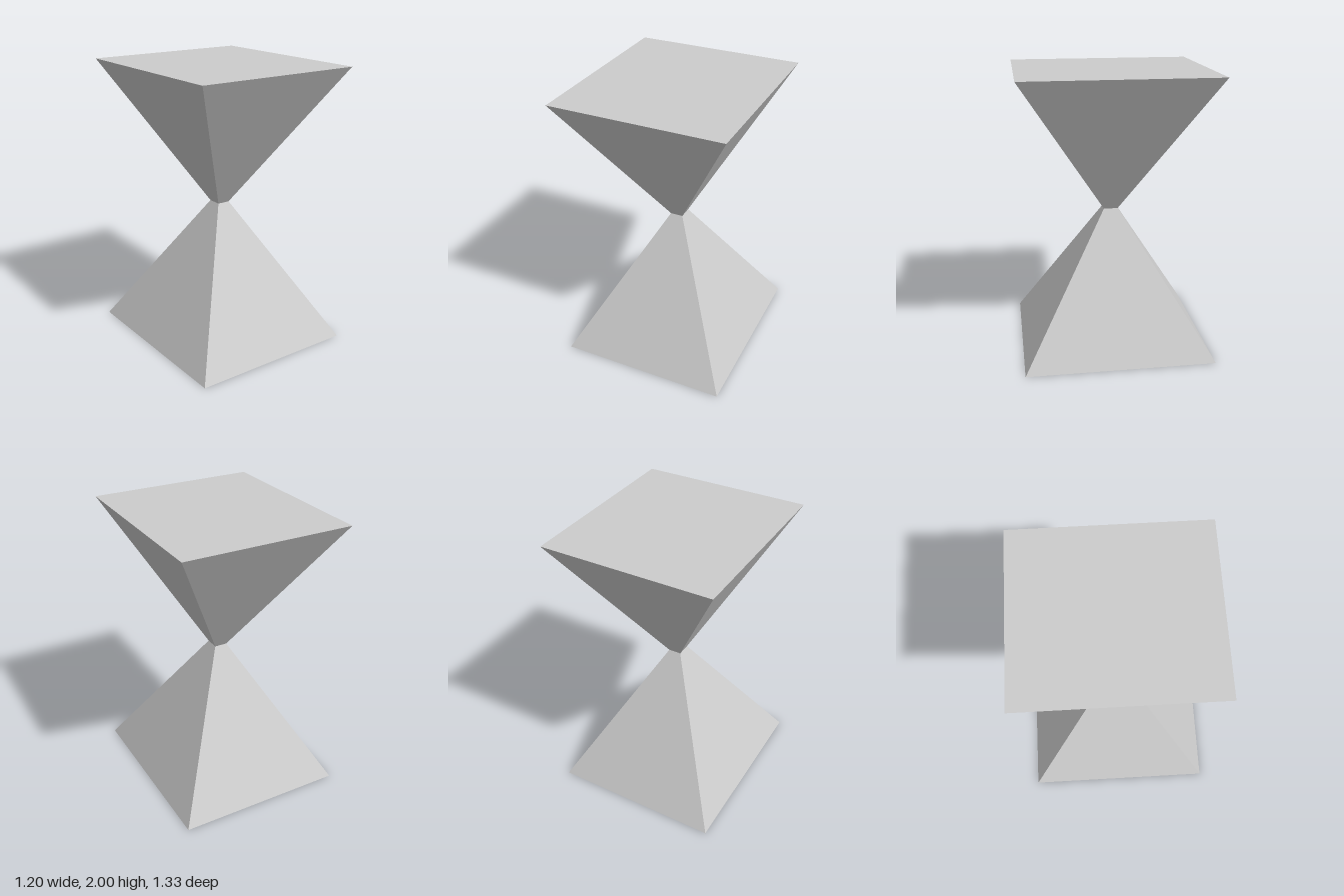
import * as THREE from 'three';

const WIDTH = 1.2, DEPTH = 1.333, HALF_HEIGHT = 1;
const WAIST = 0.075; // waist size relative to the wide end

// Four-sided frustum: a box whose narrow end is scaled towards the axis
function frustum(name, centreY, narrowSide, material) {
  const geometry = new THREE.BoxGeometry(WIDTH, HALF_HEIGHT, DEPTH);
  const pos = geometry.attributes.position;
  for (let i = 0; i < pos.count; i++) {
    if (pos.getY(i) * narrowSide > 0) {
      pos.setX(i, pos.getX(i) * WAIST);
      pos.setZ(i, pos.getZ(i) * WAIST);
    }
  }
  geometry.computeVertexNormals();
  const mesh = new THREE.Mesh(geometry, material);
  mesh.name = name;
  mesh.position.y = centreY;
  return mesh;
}

export function createModel() {
  const model = new THREE.Group();
  model.name = 'hourglassBlock';
  const material = new THREE.MeshStandardMaterial({ color: 0xcccccc, flatShading: true });

  // Lower half narrows upwards, upper half narrows downwards
  model.add(frustum('lowerPyramid', HALF_HEIGHT / 2, 1, material));
  model.add(frustum('upperPyramid', HALF_HEIGHT * 1.5, -1, material));
  return model;
}
